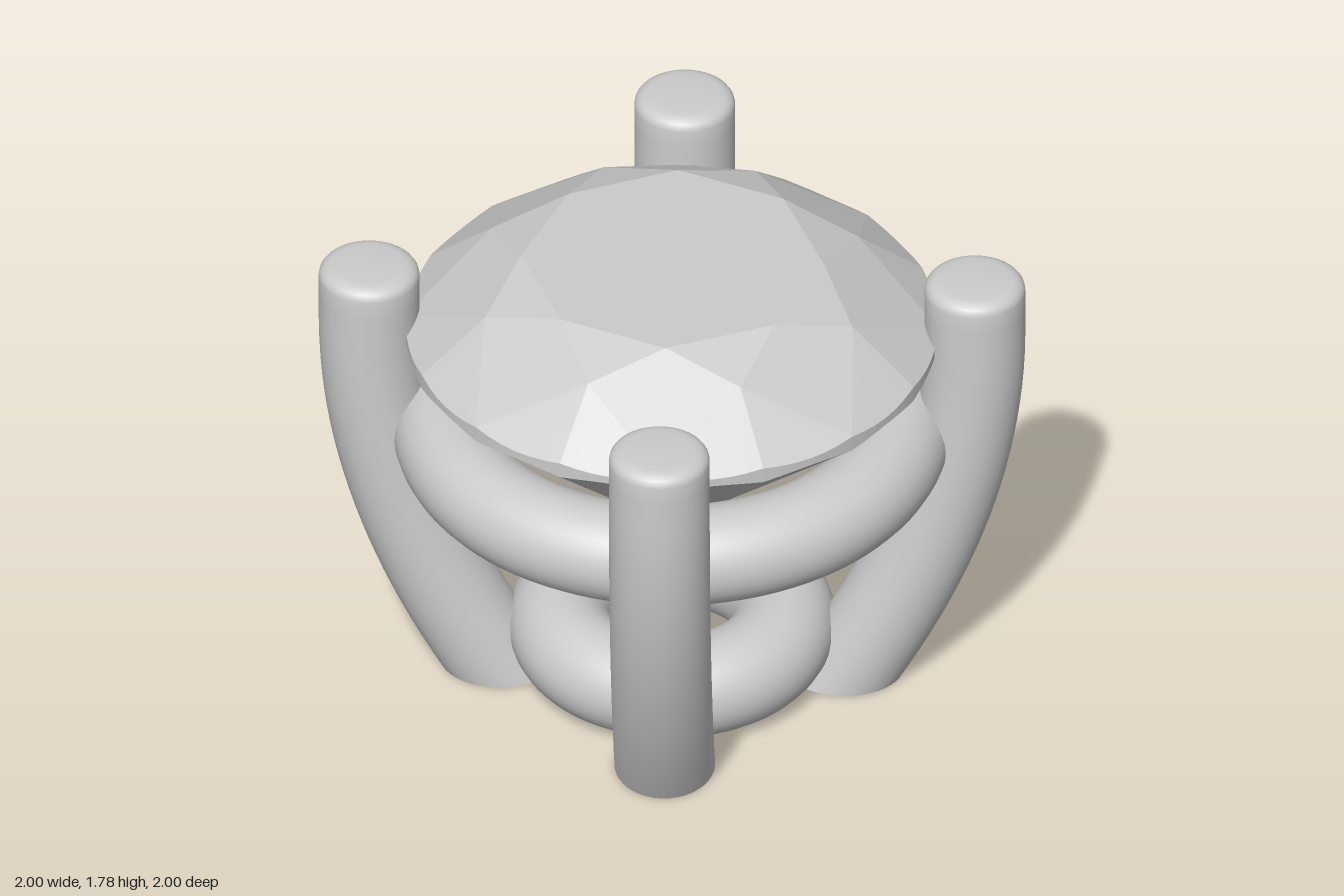
import * as THREE from 'three';
import { toCreasedNormals } from 'three/addons/utils/BufferGeometryUtils.js';

const material = new THREE.MeshStandardMaterial({ color: 0xcccccc });

function addMesh(parent, name, geometry) {
  const mesh = new THREE.Mesh(geometry, material);
  mesh.name = name;
  parent.add(mesh);
  return mesh;
}

// Round brilliant cut: eight-fold, built from flat facets
function gemGeometry() {
  const STEP = Math.PI / 8, ARC = 6, R = 0.95;
  const positions = [];
  const at = (r, y, a) => [r * Math.sin(a), y, r * Math.cos(a)];
  const tri = (flip, a, b, c) => positions.push(...a, ...(flip ? c : b), ...(flip ? b : c));
  const culet = [0, 0.63, 0], centre = [0, 1.78, 0];

  for (let i = 0; i < 8; i++) {
    const main = i * 2 * STEP;
    const table = at(0.54, 1.78, main);
    const nextTable = at(0.54, 1.78, main + 2 * STEP);

    // table and star facets
    tri(false, centre, table, nextTable);
    tri(false, table, at(0.71, 1.70, main + STEP), nextTable);

    for (const side of [1, -1]) {
      const flip = side < 0;
      const star = at(0.71, 1.70, main + side * STEP);
      const low = at(0.25, 0.83, main + side * STEP);
      // scalloped girdle: thick at the facet corners, thin between them
      const top = t => at(R, 1.505 - 0.014 * Math.sin(Math.PI * t), main + side * STEP * t);
      const bottom = t => at(R, 1.445 + 0.016 * Math.sin(Math.PI * t), main + side * STEP * t);

      // crown and pavilion main facets
      tri(flip, table, top(0), star);
      tri(flip, bottom(0), culet, low);

      // half facets and girdle
      for (let k = 0; k < ARC; k++) {
        const t0 = k / ARC, t1 = (k + 1) / ARC;
        tri(flip, star, top(t0), top(t1));
        tri(flip, top(t0), bottom(t0), bottom(t1));
        tri(flip, top(t0), bottom(t1), top(t1));
        tri(flip, low, bottom(t1), bottom(t0));
      }
    }
  }
  const geometry = new THREE.BufferGeometry();
  geometry.setAttribute('position', new THREE.Float32BufferAttribute(positions, 3));
  geometry.computeVertexNormals();
  return geometry;
}

// Round bar with a softened top, leaning outwards along +x and cut level at the foot
function prongGeometry() {
  const r = 0.18, bendTop = 1.5;
  const profile = [new THREE.Vector2(0, 0)];
  for (let i = 0; i <= 24; i++) profile.push(new THREE.Vector2(r, 1.68 * i / 24));
  for (let i = 1; i <= 5; i++) {
    const a = i / 5 * Math.PI / 2;
    profile.push(new THREE.Vector2(r - 0.06 * (1 - Math.cos(a)), 1.68 + 0.045 * Math.sin(a)));
  }
  profile.push(new THREE.Vector2(0, 1.73));

  const geometry = new THREE.LatheGeometry(profile, 40);
  const p = geometry.attributes.position;
  for (let i = 0; i < p.count; i++) {
    const u = Math.max(0, (bendTop - p.getY(i)) / bendTop);
    const offset = Math.SQRT2 * (0.765 - 0.33 * u * u);
    const slope = Math.SQRT2 * 0.66 * u / bendTop;
    p.setX(i, p.getX(i) * Math.hypot(1, slope) + offset);
  }
  return toCreasedNormals(geometry, Math.PI / 5);
}

function ringGeometry(radius, tube, y) {
  return new THREE.TorusGeometry(radius, tube, 32, 96).rotateX(-Math.PI / 2).translate(0, y, 0);
}

export function createModel() {
  const model = new THREE.Group();
  model.name = 'gemSetting';

  addMesh(model, 'gem', gemGeometry());
  addMesh(model, 'upperRing', ringGeometry(0.82, 0.18, 1.07));
  addMesh(model, 'lowerRing', ringGeometry(0.40, 0.185, 0.185));

  // four prongs on the diagonals
  const prong = prongGeometry();
  const names = ['prongBackLeft', 'prongBackRight', 'prongFrontRight', 'prongFrontLeft'];
  names.forEach((name, i) => {
    addMesh(model, name, prong).rotation.y = Math.PI / 4 + i * Math.PI / 2;
  });
  return model;
}
